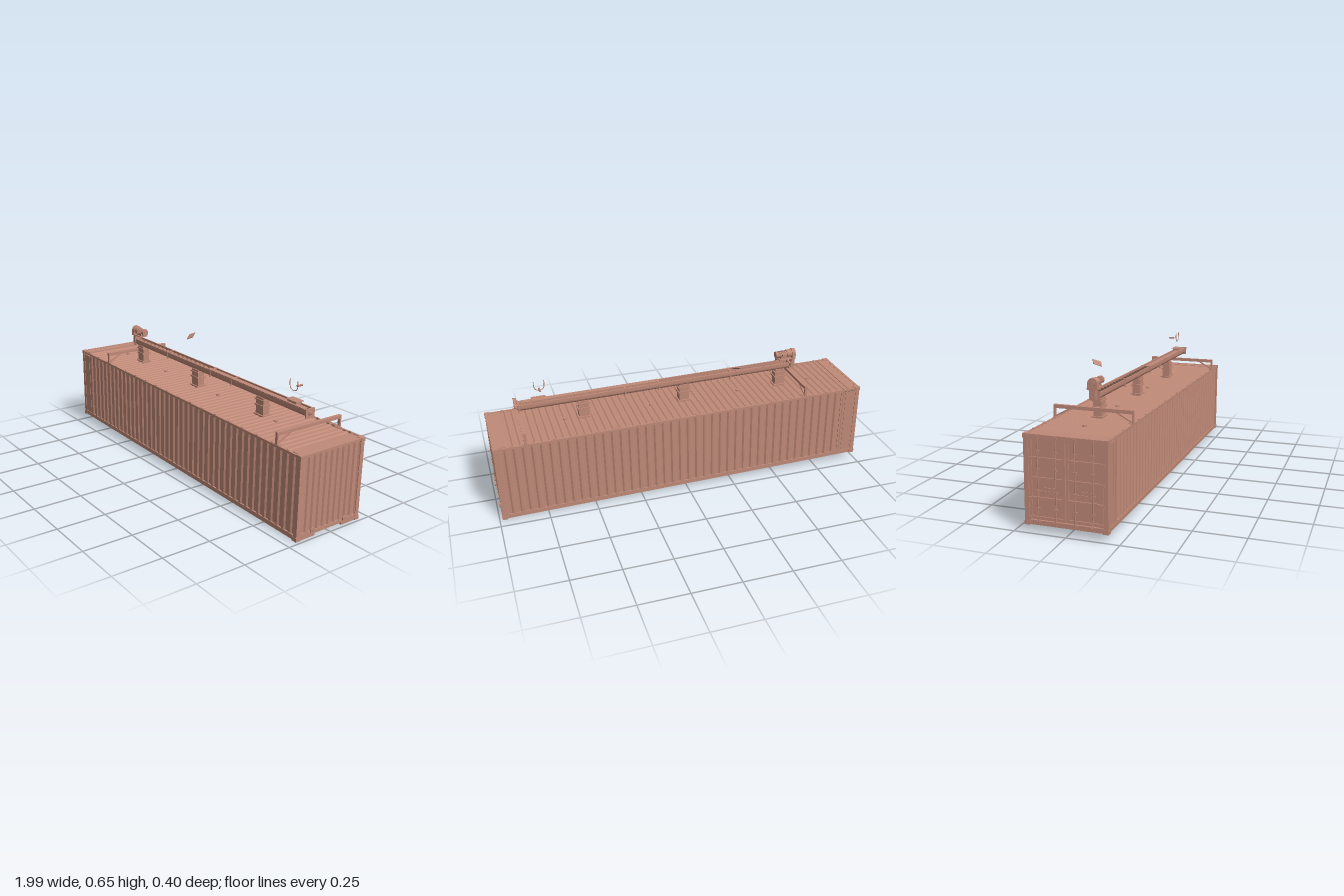
import * as THREE from 'three';

const paint = new THREE.MeshStandardMaterial({ color: 0xc08a78, side: THREE.DoubleSide });
paint.name = 'terracotta paint';

const L = 0.99, W = 0.197, H = 0.415; // half length, half width, height

export function createModel() {
  const model = new THREE.Group();
  model.name = 'containerWithScrewConveyor';
  const body = new THREE.Group();
  body.name = 'tiltedAssembly';
  body.rotation.z = -0.0188;
  body.position.set(-0.005, 0.021, 0);
  model.add(body);

  const add = (name, geo, x = 0, y = 0, z = 0) => {
    const m = new THREE.Mesh(geo, paint);
    m.name = name;
    m.position.set(x, y, z);
    body.add(m);
    return m;
  };
  const box = (name, x, y, z, sx, sy, sz) => add(name, new THREE.BoxGeometry(sx, sy, sz), x, y, z);
  const rod = (name, axis, r, len, x, y, z, sides = 20) => {
    const g = new THREE.CylinderGeometry(r, r, len, sides);
    if (axis === 'x') g.rotateZ(Math.PI / 2);
    if (axis === 'z') g.rotateX(Math.PI / 2);
    return add(name, g, x, y, z);
  };
  // Trapezoid-ribbed sheet: profile runs along x, extruded along z
  const ribbed = (len, n, depth, height) => {
    const p = len / n, t = 0.0015, pts = [];
    for (let i = 0; i < n; i++) {
      const u = -len / 2 + i * p;
      pts.push([u, 0], [u + p * 0.32, 0], [u + p * 0.5, depth], [u + p * 0.82, depth]);
    }
    pts.push([len / 2, 0]);
    const face = pts.map(([x, y]) => new THREE.Vector2(x, y));
    const back = pts.map(([x, y]) => new THREE.Vector2(x, y + t)).reverse();
    return new THREE.ExtrudeGeometry(new THREE.Shape([...face, ...back]), { depth: height, bevelEnabled: false });
  };
  const wall = (name, geo, x, z, yaw, y = 0.026) => {
    geo.rotateX(-Math.PI / 2);
    add(name, geo, x, y, z).rotation.y = yaw;
  };

  // Frame: corner posts, castings and rails
  for (const sx of [-1, 1]) for (const sz of [-1, 1]) {
    box('cornerPost', sx * (L - 0.012), H / 2, sz * (W - 0.012), 0.022, H - 0.02, 0.022);
    for (const y of [0.0095, H - 0.0095]) {
      box('cornerCasting', sx * (L - 0.0135), y, sz * (W - 0.0125), 0.029, 0.019, 0.027);
      const hole = rod('castingAperture', 'x', 0.006, 0.001, sx * (L + 0.001), y, sz * (W - 0.0125), 16);
      hole.scale.y = 1.3;
      rod('castingAperture', 'z', 0.006, 0.001, sx * (L - 0.0135), y, sz * (W + 0.0005), 16);
    }
  }
  for (const s of [-1, 1]) {
    box('bottomSideRail', 0, 0.016, s * (W - 0.004), 2 * L - 0.05, 0.022, 0.008);
    box('topSideRail', 0, H - 0.008, s * (W - 0.005), 2 * L - 0.05, 0.011, 0.009);
    box('topEndRail', s * (L - 0.007), H - 0.007, 0, 0.013, 0.012, 2 * W - 0.05);
    box('roofEndPlate', s * (L - 0.035), H - 0.004, 0, 0.065, 0.003, 2 * W - 0.03);
    for (let i = 0; i < 18; i++) // lashing rings along the top rails
      box('lashingLug', -0.9 + i * 0.106, H - 0.001, s * (W - 0.006), 0.012, 0.004, 0.005);
  }

  // Side walls, blind end wall and roof
  wall('frontWall', ribbed(1.87, 42, 0.006, H - 0.038), 0.04, W - 0.002, 0);
  wall('backWall', ribbed(1.87, 42, 0.006, H - 0.038), 0.04, -W + 0.002, Math.PI);
  wall('endWall', ribbed(2 * W - 0.045, 10, 0.007, H - 0.04), L - 0.003, 0, Math.PI / 2);
  add('roof', ribbed(1.86, 52, 0.0045, 2 * W - 0.016), 0, H - 0.0105, -W + 0.008);
  for (const s of [-1, 1]) {
    box('flatSidePanel', -0.925, H / 2, s * (W - 0.005), 0.085, H - 0.04, 0.003);
    box('sideMarkerStrip', -0.915, 0.215, s * (W - 0.003), 0.014, 0.36, 0.003);
    box('sideMarkerStrip', -0.885, 0.215, s * (W - 0.003), 0.008, 0.36, 0.003);
    for (const x of [-0.9, 0.2, 0.27]) box('sideBracket', x, 0.026, s * (W + 0.0005), 0.018, 0.006, 0.002);
  }
  for (const x of [-0.77, -0.35, 0.14, 0.6]) rod('roofVent', 'y', 0.01, 0.008, x, H - 0.003, 0);

  // Blind end sill with raised centre and two round couplings
  for (const s of [-1, 1]) {
    box('endSillSide', L - 0.008, 0.016, s * 0.129, 0.014, 0.03, 0.088);
    const z = s * 0.1;
    rod('endCoupling', 'x', 0.013, 0.007, L + 0.0015, 0.033, z, 24);
    rod('endCouplingHub', 'x', 0.006, 0.01, L + 0.002, 0.033, z, 16);
  }
  box('endSillCentre', L - 0.008, 0.022, 0, 0.014, 0.018, 0.175);

  // Floor, cross members and the tunnel under the blind end
  box('floor', 0, 0.032, 0, 2 * L - 0.03, 0.004, 2 * W - 0.016);
  for (let x = -0.94; x < 0.96; x += 0.05) {
    if (x < 0.42) {
      box('crossMember', x, 0.018, 0, 0.003, 0.024, 2 * W - 0.016);
      box('crossMemberFlange', x + 0.007, 0.007, 0, 0.016, 0.002, 2 * W - 0.016);
    } else for (const s of [-1, 1]) {
      box('outrigger', x, 0.018, s * 0.137, 0.003, 0.024, 0.104);
      box('outriggerFlange', x + 0.007, 0.007, s * 0.137, 0.016, 0.002, 0.104);
    }
  }
  box('tunnelPlate', 0.7, 0.024, 0, 0.55, 0.003, 0.17);
  for (let i = 0; i < 24; i++) box('tunnelRib', 0.44 + i * 0.0225, 0.021, 0, 0.006, 0.003, 0.17);
  for (const s of [-1, 1]) box('tunnelBeam', 0.7, 0.015, s * 0.086, 0.56, 0.022, 0.006);
  box('tunnelHeader', 0.425, 0.015, 0, 0.008, 0.022, 0.18);

  // Door end: ribbed leaves, hinges, locking bars and handles
  box('doorSill', -L + 0.008, 0.014, 0, 0.014, 0.022, 2 * W - 0.05);
  for (const s of [-1, 1]) {
    const z = s * 0.087;
    box('doorPanel', -L + 0.012, 0.215, z, 0.004, 0.372, 0.17);
    for (const e of [-1, 1]) box('doorStile', -L + 0.008, 0.215, z + e * 0.079, 0.01, 0.372, 0.012);
    for (const y of [0.035, 0.125, 0.215, 0.305, 0.395]) {
      box('doorRail', -L + 0.008, y, z, 0.008, 0.014, 0.15);
      box('doorHinge', -L + 0.001, y, s * 0.171, 0.006, 0.014, 0.016);
    }
    for (const e of [-1, 1]) {
      const bz = z + e * 0.042;
      rod('lockingBar', 'y', 0.0028, 0.4, -L - 0.001, 0.212, bz, 12);
      for (const y of [0.018, 0.08, 0.16, 0.26, 0.34, 0.402])
        box('barBracket', -L, y, bz, 0.007, 0.01, 0.016);
      box('lockHandle', -L - 0.002, 0.17 + e * 0.008, bz - e * 0.028, 0.003, 0.005, 0.06);
    }
  }

  // Two portal frames standing on the roof
  for (const x of [-0.665, 0.828]) {
    box('portalBeam', x, H + 0.05, 0, 0.014, 0.016, 2 * W);
    box('portalBeamLip', x, H + 0.058, 0, 0.018, 0.002, 2 * W);
    for (const s of [-1, 1]) {
      box('portalLeg', x, H + 0.025, s * (W - 0.004), 0.014, 0.054, 0.008);
      box('portalFoot', x, H, s * (W - 0.012), 0.03, 0.003, 0.024);
      const brace = box('portalBrace', x, H + 0.022, s * 0.154, 0.008, 0.007, 0.09);
      brace.rotation.x = s * 0.5;
    }
  }

  // Open U-shaped trough with flanges
  const y0 = 0.502, y1 = 0.541, mid = 0.522;
  const u = new THREE.Shape();
  u.moveTo(-0.027, y1); u.lineTo(-0.027, y1 - 0.002); u.lineTo(-0.022, y1 - 0.002); u.lineTo(-0.022, mid + 0.002);
  u.absarc(0, mid + 0.002, 0.022, Math.PI, 2 * Math.PI, false);
  u.lineTo(0.022, y1 - 0.002); u.lineTo(0.027, y1 - 0.002); u.lineTo(0.027, y1); u.lineTo(0.0205, y1);
  u.lineTo(0.0205, mid + 0.002);
  u.absarc(0, mid + 0.002, 0.0205, 0, -Math.PI, true);
  u.lineTo(-0.0205, y1);
  const trough = new THREE.ExtrudeGeometry(u, { depth: 1.47, bevelEnabled: false, curveSegments: 12 });
  trough.rotateY(Math.PI / 2);
  add('trough', trough, -0.645);
  for (const x of [-0.645, -0.3, 0.1, 0.28, 0.825]) {
    for (const s of [-1, 1]) box('troughJoint', x, mid, s * 0.0235, 0.006, 0.039, 0.005);
    box('troughTie', x, y1 + 0.001, 0, 0.01, 0.002, 0.054);
  }
  for (const x of [-0.647, 0.827]) {
    box('troughEndPlate', x, mid, 0, 0.005, 0.044, 0.054);
    rod('endBearing', 'x', 0.012, 0.018, x, mid, 0);
  }
  box('troughCover', 0.45, y1 + 0.001, 0.012, 0.72, 0.002, 0.028);

  // Screw: shaft and helical flight
  rod('screwShaft', 'x', 0.005, 1.5, 0.092, mid, 0, 12);
  const pos = [], idx = [], turns = 36, seg = 16;
  for (let i = 0; i <= turns * seg; i++) {
    const a = (i / seg) * 2 * Math.PI, x = -0.63 + (1.44 * i) / (turns * seg);
    for (const r of [0.004, 0.018]) pos.push(x, mid + r * Math.sin(a), r * Math.cos(a));
    if (i) idx.push(2 * i - 2, 2 * i - 1, 2 * i, 2 * i - 1, 2 * i + 1, 2 * i);
  }
  const flight = new THREE.BufferGeometry();
  flight.setAttribute('position', new THREE.Float32BufferAttribute(pos, 3));
  flight.setIndex(idx);
  flight.computeVertexNormals();
  add('screwFlight', flight);

  // Discharge chutes carrying the trough
  for (const x of [-0.59, -0.04, 0.5]) {
    box('chute', x, (H + y0) / 2 - 0.002, 0, 0.054, y0 - H + 0.014, 0.04);
    box('chuteTopFlange', x, y0 - 0.008, 0, 0.068, 0.005, 0.05);
    box('chuteSlideGate', x, H + 0.05, 0, 0.066, 0.008, 0.05);
    box('chuteBaseFlange', x, H + 0.002, 0, 0.07, 0.006, 0.056);
  }

  // Inlet collar
  box('inletCollar', 0.72, y1 + 0.006, -0.003, 0.058, 0.012, 0.036);
  box('inletFlange', 0.72, y1 + 0.013, -0.003, 0.074, 0.003, 0.046);

  // Drive: chain guard, gearbox, motor with fins
  const guard = new THREE.Shape();
  guard.moveTo(-0.015, mid - 0.015); guard.lineTo(0.015, mid - 0.015); guard.lineTo(0.015, 0.553);
  guard.lineTo(0.027, 0.557); guard.lineTo(0.024, 0.585);
  guard.absarc(0, 0.587, 0.024, 0, Math.PI, false);
  guard.lineTo(-0.027, 0.557); guard.lineTo(-0.015, 0.553);
  const guardGeo = new THREE.ExtrudeGeometry(guard, { depth: 0.02, bevelEnabled: false });
  guardGeo.rotateY(Math.PI / 2);
  add('chainGuard', guardGeo, -0.678);
  box('motorMount', -0.625, 0.562, 0, 0.08, 0.005, 0.05);
  box('motorFoot', -0.62, 0.569, 0, 0.05, 0.012, 0.028);
  rod('gearbox', 'x', 0.021, 0.03, -0.645, 0.587, 0, 24);
  rod('motor', 'x', 0.016, 0.06, -0.603, 0.587, 0, 24);
  for (let i = 0; i < 8; i++) rod('motorFin', 'x', 0.0185, 0.002, -0.622 + i * 0.006, 0.587, 0, 24);
  rod('fanCover', 'x', 0.018, 0.012, -0.573, 0.587, 0, 24);
  rod('guardHub', 'x', 0.012, 0.006, -0.68, 0.587, 0);
  box('terminalBox', -0.61, 0.59, -0.022, 0.024, 0.012, 0.016);

  // Loose parts above: tilted plate, U-bolt and pin
  const plate = box('loosePlate', -0.29, 0.613, -0.13, 0.042, 0.003, 0.046);
  plate.rotation.set(0.42, 0.6, 0.2);
  const curve = new THREE.CatmullRomCurve3(
    [[-0.026, 0.647], [-0.026, 0.62], [-0.018, 0.603], [0, 0.597], [0.018, 0.603], [0.026, 0.62], [0.026, 0.647]]
      .map(([x, y]) => new THREE.Vector3(x, y, 0)));
  add('uBolt', new THREE.TubeGeometry(curve, 32, 0.002, 8), 0.712);
  rod('loosePin', 'z', 0.005, 0.032, 0.715, 0.616, -0.035, 12);

  return model;
}
